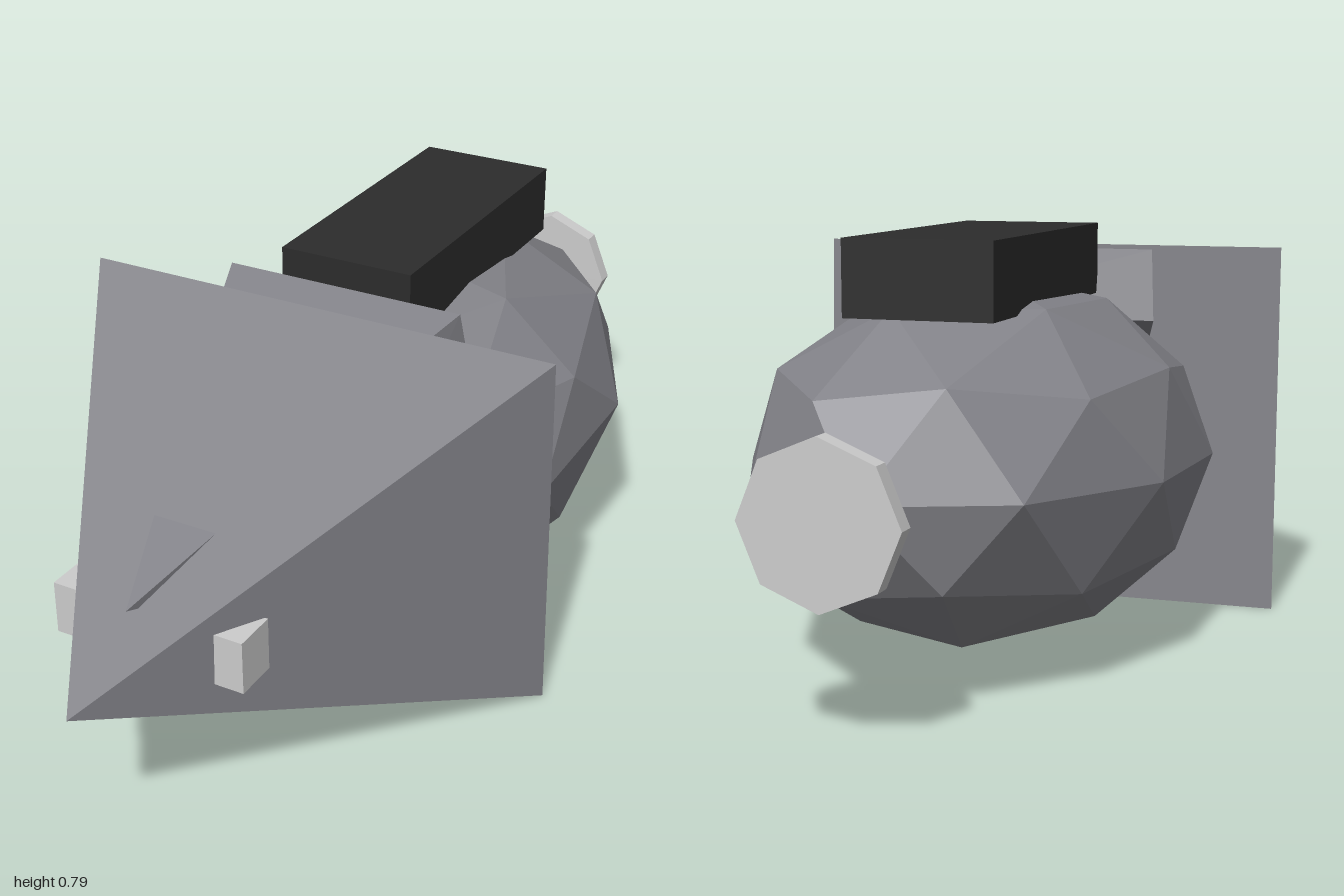
import * as THREE from 'three';
import { ConvexGeometry } from 'three/addons/geometries/ConvexGeometry.js';

const flat = (name, color) => {
  const m = new THREE.MeshStandardMaterial({ color, flatShading: true });
  m.name = name;
  return m;
};

// left-right mirrored points from [halfWidth, y, z]
const mirrored = (list) => list.flatMap(([x, y, z]) => x === 0
  ? [new THREE.Vector3(0, y, z)]
  : [new THREE.Vector3(x, y, z), new THREE.Vector3(-x, y, z)]);

// solid spanning the mirrored corner points
const solid = (...corners) => new ConvexGeometry(mirrored(corners));

// box given by its limits on each axis
const boxBetween = (x0, x1, y0, y1, z0, z1) =>
  new THREE.BoxGeometry(x1 - x0, y1 - y0, z1 - z0)
    .translate((x0 + x1) / 2, (y0 + y1) / 2, (z0 + z1) / 2);

export function createModel() {
  const group = new THREE.Group();
  const grey = flat('fur grey', 0x828288);
  const black = flat('back black', 0x2c2c2c);
  const pale = flat('pale grey', 0xcccccc);

  const add = (name, geometry, material) => {
    const mesh = new THREE.Mesh(geometry, material);
    mesh.name = name;
    group.add(mesh);
    return mesh;
  };

  // faceted egg body: vertex-up icosphere, stretched and tipped slightly forward
  const body = new THREE.IcosahedronGeometry(1, 1);
  body.rotateX(-Math.atan((1 + Math.sqrt(5)) / 2));
  body.rotateY(Math.PI / 2);
  body.scale(0.42, 0.35, 0.64);
  body.rotateX(0.034);
  body.translate(0, 0.355, -0.22);
  add('body', body, grey);

  // pyramid head pointing forward
  add('head', solid([0, 0.335, 1], [0.49, 0.74, 0.173], [0.49, 0, 0.146]), grey);

  // neck wedge between head and body
  add('neck', solid(
    [0.25, 0.738, 0.065], [0.262, 0.598, 0.035],
    [0.205, 0.695, 0.2], [0.21, 0.54, 0.2]), grey);

  // small snout ridge, mostly sunk into the top of the head
  add('snout', solid([0, 0.443, 0.82], [0.066, 0.517, 0.627], [0.05, 0.39, 0.627]), grey);

  // dark block along the back
  add('backStripe', boxBetween(-0.14, 0.14, 0.65, 0.79, -0.58, 0.055), black);

  // eyes on both sides of the head
  for (const [name, side] of [['leftEye', 1], ['rightEye', -1]]) {
    const eye = boxBetween(-0.035, 0.035, 0.305, 0.408, 0.68, 0.765);
    eye.translate(side * 0.159, 0, 0);
    add(name, eye, pale);
  }

  // mouth bar under the head
  add('mouth', boxBetween(-0.262, 0.262, 0.057, 0.09, 0.28, 0.342), pale);

  // eight-sided tail disc floating behind the body
  const tail = new THREE.CylinderGeometry(0.14, 0.14, 0.035, 8);
  tail.rotateX(Math.PI / 2);
  tail.translate(0, 0.375, -0.9825);
  add('tail', tail, pale);

  return group;
}
